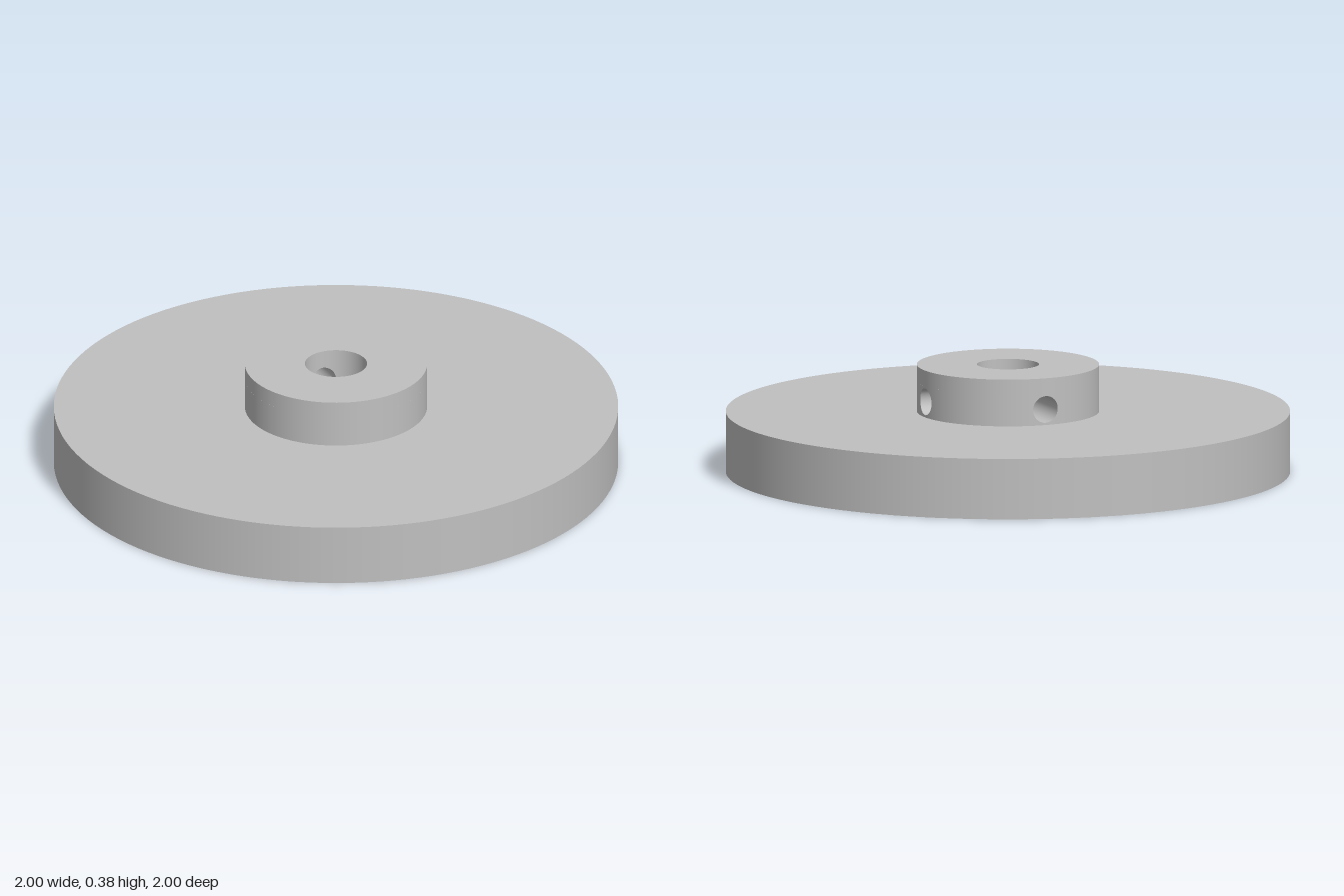
import * as THREE from 'three';
import { mergeVertices } from 'three/addons/utils/BufferGeometryUtils.js';

const DISC_R = 1, DISC_H = 0.217;
const HUB_R = 0.323, HUB_TOP = 0.385, BORE_R = 0.11;
const SCREW_R = 0.048, FRAME = 0.056, SCREW_Y = DISC_H + FRAME; // screw hole and the square panel round it
const POCKET = { radial: 0.272, across: 0.41, depth: 0.15, at: 0.705 };
const SEG = 128;

// Surface from a grid of points fn(u, v)
function gridSurface(fn, nu, nv) {
  const pos = [], index = [];
  for (let i = 0; i <= nu; i++)
    for (let j = 0; j <= nv; j++) pos.push(...fn(i / nu, j / nv));
  for (let i = 0; i < nu; i++)
    for (let j = 0; j < nv; j++) {
      const a = i * (nv + 1) + j, d = a + nv + 1;
      index.push(a, a + 1, d + 1, a, d + 1, d);
    }
  const raw = new THREE.BufferGeometry();
  raw.setAttribute('position', new THREE.Float32BufferAttribute(pos, 3));
  raw.setIndex(index);
  const geo = mergeVertices(raw);
  geo.computeVertexNormals();
  return geo;
}

// Square panel of a cylinder wall, facing +x, with the round screw hole in it
function holedPanel(radius) {
  const geo = gridSurface((u, v) => {
    const t = u * Math.PI * 2, c = Math.cos(t), s = Math.sin(t);
    const edge = FRAME / Math.max(Math.abs(c), Math.abs(s));
    const rho = THREE.MathUtils.lerp(SCREW_R, edge, v);
    return [Math.sqrt(radius * radius - (rho * c) ** 2), SCREW_Y + rho * s, -rho * c];
  }, 48, 4);
  const p = geo.attributes.position, n = geo.attributes.normal;
  for (let i = 0; i < p.count; i++) n.setXYZ(i, p.getX(i) / radius, 0, p.getZ(i) / radius);
  return geo;
}

// Lining of the screw hole, from the hub wall to the bore
function screwLining() {
  return gridSurface((u, v) => {
    const t = u * Math.PI * 2, a = SCREW_R * Math.cos(t);
    const x = THREE.MathUtils.lerp(Math.sqrt(HUB_R ** 2 - a * a), Math.sqrt(BORE_R ** 2 - a * a), v);
    return [x, SCREW_Y + SCREW_R * Math.sin(t), -a];
  }, 48, 1);
}

export function createModel() {
  const model = new THREE.Group();
  model.name = 'hubbedWheel';
  const grey = new THREE.MeshStandardMaterial({ color: 0xc0c0c0, side: THREE.DoubleSide });
  grey.name = 'plainGrey';

  function add(name, geo) {
    const mesh = new THREE.Mesh(geo, grey);
    mesh.name = name;
    model.add(mesh);
    return mesh;
  }
  function wall(name, r, y0, y1, start = 0, length = Math.PI * 2) {
    const geo = new THREE.CylinderGeometry(r, r, y1 - y0, SEG, 1, true, start, length);
    add(name, geo).position.y = (y0 + y1) / 2;
  }
  function flatRing(name, inner, outer, y) {
    add(name, new THREE.RingGeometry(inner, outer, SEG).rotateX(-Math.PI / 2)).position.y = y;
  }

  // Disc
  wall('discRim', DISC_R, 0, DISC_H);
  flatRing('discTop', HUB_R, DISC_R, DISC_H);

  // Underside with the bore and six rectangular pockets cut out
  const under = new THREE.Shape().absarc(0, 0, DISC_R, 0, Math.PI * 2);
  under.holes.push(new THREE.Path().absarc(0, 0, BORE_R, 0, Math.PI * 2, true));
  for (let i = 0; i < 6; i++) {
    const angle = i * Math.PI / 3, c = Math.cos(angle), s = Math.sin(angle);
    const corners = [[-1, -1], [-1, 1], [1, 1], [1, -1]].map(([a, b]) => {
      const r = POCKET.at + a * POCKET.radial / 2, t = b * POCKET.across / 2;
      return new THREE.Vector2(r * c - t * s, r * s + t * c);
    });
    under.holes.push(new THREE.Path(corners));

    // Pocket lining: a box without its lower face
    const box = new THREE.BoxGeometry(POCKET.radial, POCKET.depth, POCKET.across);
    const index = Array.from(box.index.array);
    index.splice(18, 6);
    box.setIndex(index);
    box.clearGroups();
    const pocket = add('pocket', box);
    pocket.position.set(POCKET.at * c, POCKET.depth / 2, POCKET.at * s);
    pocket.rotation.y = -angle;
  }
  add('discUnderside', new THREE.ShapeGeometry(under, SEG / 2).rotateX(Math.PI / 2));

  // Hub top, and the plain part of the bore through the disc
  flatRing('hubTop', BORE_R, HUB_R, HUB_TOP);
  wall('boreLower', BORE_R, 0, DISC_H);

  // Hub wall and bore: arcs between the two screw holes, plain band above
  const bandTop = SCREW_Y + FRAME;
  for (const [name, r] of [['hubWall', HUB_R], ['bore', BORE_R]]) {
    const half = Math.asin(FRAME / r);
    wall(name + 'ShortArc', r, DISC_H, bandTop, Math.PI / 2 + half, Math.PI / 2 - 2 * half);
    wall(name + 'LongArc', r, DISC_H, bandTop, Math.PI + half, Math.PI * 1.5 - 2 * half);
    wall(name + 'Upper', r, bandTop, HUB_TOP);
    for (const turn of [0, Math.PI / 2]) add(name + 'HoledPanel', holedPanel(r)).rotation.y = turn;
  }
  for (const turn of [0, Math.PI / 2]) add('screwHole', screwLining()).rotation.y = turn;

  return model;
}
